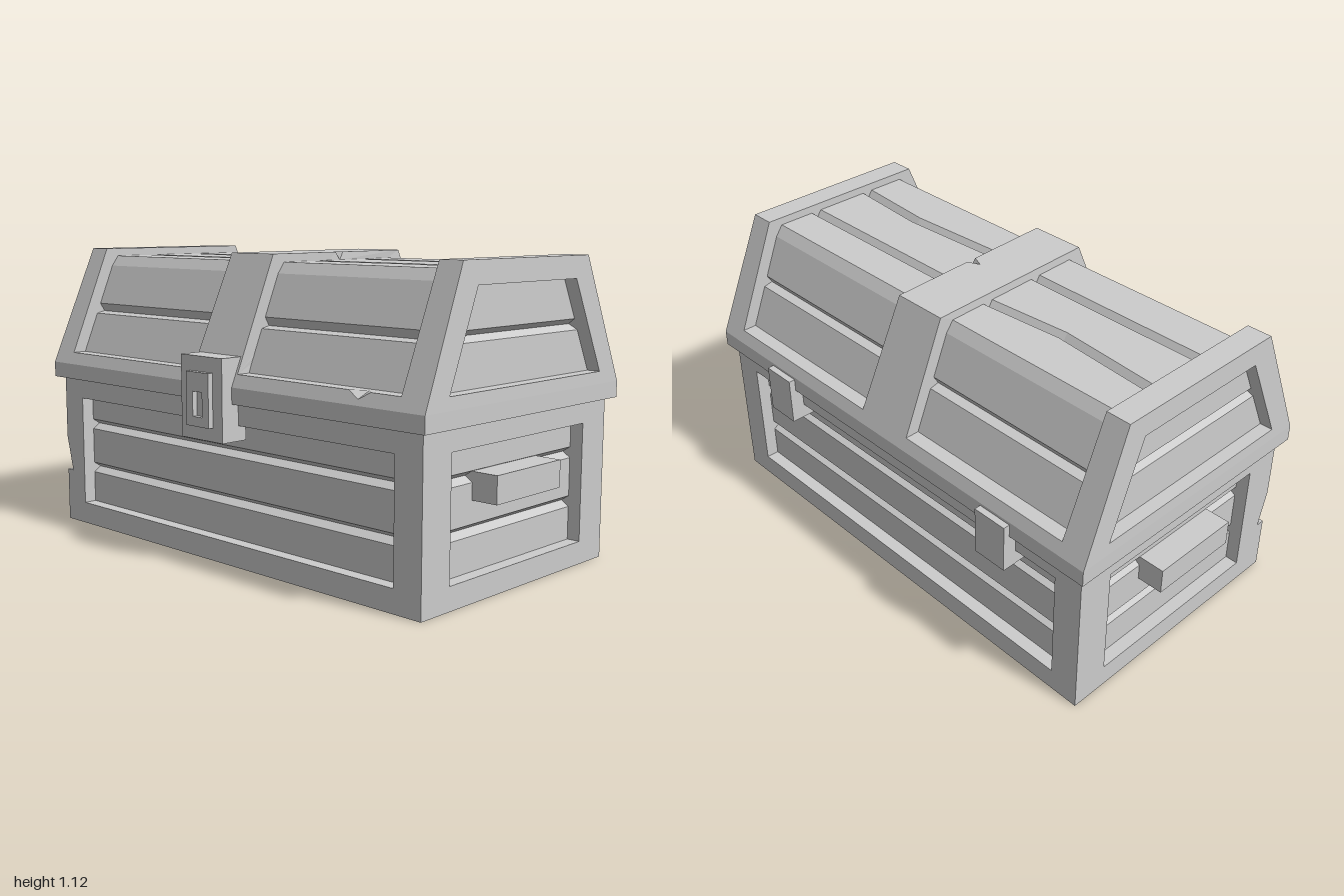
import * as THREE from 'three';

const V = (x, y, z) => new THREE.Vector3(x, y, z);
const material = new THREE.MeshStandardMaterial({ color: 0xcccccc, flatShading: true });

// Flat polygon (with optional holes) whose triangles all look towards `out`
function face(out, pts, holes = []) {
  const a = [Math.abs(out.x), Math.abs(out.y), Math.abs(out.z)];
  const drop = a.indexOf(Math.max(...a));
  const flat = p => drop === 0 ? new THREE.Vector2(p.z, p.y)
    : drop === 1 ? new THREE.Vector2(p.x, p.z) : new THREE.Vector2(p.x, p.y);
  const all = pts.concat(...holes), result = [];
  for (const [i, j, k] of THREE.ShapeUtils.triangulateShape(pts.map(flat), holes.map(h => h.map(flat)))) {
    const [p, q, r] = [all[i], all[j], all[k]];
    const n = q.clone().sub(p).cross(r.clone().sub(p));
    result.push(...(n.dot(out) < 0 ? [p, r, q] : [p, q, r]));
  }
  return result;
}

function part(name, ...faces) {
  const g = new THREE.BufferGeometry().setFromPoints(faces.flat());
  g.computeVertexNormals();
  const mesh = new THREE.Mesh(g, material);
  mesh.name = name;
  return mesh;
}

function box(name, w, h, d, x, y, z) {
  const mesh = new THREE.Mesh(new THREE.BoxGeometry(w, h, d), material);
  mesh.position.set(x, y, z);
  mesh.name = name;
  return mesh;
}

const RECESS = 0.05, GROOVE = 0.03, HALF = 0.02;

// Sunken symmetric panel with V-grooves; map(u, v, w) places it, w pointing outwards
function panel(map, y0, y1, u0, u1, grooves) {
  const at = v => THREE.MathUtils.mapLinear(v, y0, y1, u0, u1);
  const dir = (u, v, w) => map(u, v, w).sub(map(0, 0, 0));
  const hole = [[-u0, y0], [u0, y0], [u1, y1], [-u1, y1]];
  const out = [];
  const inward = [dir(0, 1, 0), dir(-1, 0, 0), dir(0, -1, 0), dir(1, 0, 0)];
  hole.forEach(([u, v], i) => {
    const [s, t] = hole[(i + 1) % 4], d = -RECESS - GROOVE;
    const q = [map(u, v, 0), map(s, t, 0), map(s, t, d), map(u, v, d)];
    const n = q[1].clone().sub(q[0]).cross(q[2].clone().sub(q[0]));
    out.push(...face(n.dot(inward[i]) < 0 ? n.negate() : n, q));
  });
  const section = [[y0, -RECESS]];
  for (const g of grooves) section.push([g - HALF, -RECESS], [g, -RECESS - GROOVE], [g + HALF, -RECESS]);
  section.push([y1, -RECESS]);
  for (let i = 0; i + 1 < section.length; i++) {
    const [v, w] = section[i], [t, x] = section[i + 1];
    out.push(...face(dir(0, 0, 1), [map(-at(v), v, w), map(at(v), v, w), map(at(t), t, x), map(-at(t), t, x)]));
  }
  return { faces: out, hole: hole.map(([u, v]) => map(u, v, 0)) };
}

function makeBody() {
  const X = 0.95, Z = 0.52, H = 0.6, grooves = [0.227, 0.408], faces = [];
  // chipped front corner post
  const a = V(-X, 0.35, Z), b = V(-0.915, 0.21, Z), c = V(-X, 0.21, Z - 0.035), d = V(-X, 0.21, Z);
  faces.push(face(V(-1, 0.2, 1), [a, b, c]), face(V(0, 1, 0), [b, c, d]));
  for (const s of [1, -1]) {
    // front and back
    const long = panel((u, v, w) => V(u, v, s * (Z + w)), 0.085, 0.52, 0.835, 0.835, grooves);
    const rim = [V(-X, 0, s * Z), V(X, 0, s * Z), V(X, H, s * Z), V(-X, H, s * Z)];
    if (s > 0) rim.push(a, b, d);
    faces.push(long.faces, face(V(0, 0, s), rim, [long.hole]));
    // ends
    const end = panel((u, v, w) => V(s * (X + w), v, u), 0.085, 0.52, 0.378, 0.378, grooves);
    const edge = [V(s * X, 0, -Z), V(s * X, H, -Z), V(s * X, H, Z)];
    if (s < 0) edge.push(a, c, d);
    edge.push(V(s * X, 0, Z));
    faces.push(end.faces, face(V(s, 0, 0), edge, [end.hole]));
  }
  faces.push(face(V(0, -1, 0), [V(-X, 0, -Z), V(X, 0, -Z), V(X, 0, Z), V(-X, 0, Z)]));
  return part('chestBody', ...faces);
}

// Half depth and half length of the lid at height y
const slope = y => 0.55 - 0.195 * (y - 0.66) / 0.46;
const reach = y => 0.98 - 0.015 * (y - 0.66) / 0.46;
const LOW = 0.66, SILL = 0.705, TOP = 1.12, POST = 0.87, BAND = 0.12;

function makeLidFrame() {
  const faces = [], S = slope(TOP), E = reach(TOP);
  const chip = { a: V(0.65, SILL, slope(SILL)), b: V(0.745, SILL, slope(SILL)),
    p: V(0.71, SILL, slope(SILL) - 0.033), q: V(0.7, 0.68, slope(0.68)) };
  const nick = { a: V(0.107, TOP, -0.02), b: V(0.108, TOP, 0.02), p: V(0.06, TOP, 0), q: V(0.11, 1.09, 0) };
  for (const [k, o] of [[chip, V(0, 1, 1)], [nick, V(1, 1, 0)]]) {
    for (const e of [k.a, k.b]) {
      const n = k.p.clone().sub(e).cross(k.q.clone().sub(e));
      faces.push(face(n.dot(o) < 0 ? n.negate() : n, [e, k.p, k.q]));
    }
  }
  for (const s of [1, -1]) {
    const p = (x, y) => V(x, y, s * slope(y));
    const bandR = s > 0 ? BAND : 0.095, bandL = s > 0 ? -0.1 : -BAND;
    // sloping frame: sill, end posts and centre band in one outline
    faces.push(face(V(0, 0.4, s), [p(-0.98, LOW), p(0.98, LOW), p(E, TOP), p(POST, TOP), p(POST, SILL),
      ...(s > 0 ? [chip.b, chip.q, chip.a] : []),
      p(BAND, SILL), p(bandR, TOP), p(bandL, TOP), p(-BAND, SILL), p(-POST, SILL), p(-POST, TOP), p(-E, TOP)]));
    // lower rim and sill ledges
    faces.push(face(V(0, 0, s), [V(-0.98, 0.6, s * 0.55), V(0.98, 0.6, s * 0.55), p(0.98, LOW), p(-0.98, LOW)]));
    for (const m of [1, -1]) {
      const deep = s * (slope(SILL) - 0.08);
      faces.push(face(V(0, 1, 0), [V(m * POST, SILL, deep), p(m * POST, SILL),
        ...(s > 0 && m > 0 ? [chip.b, chip.p, chip.a] : []), p(m * BAND, SILL), V(m * BAND, SILL, deep)]));
    }
    // ends with sunken trapezoid panels
    const map = (u, v, w) => V(s * (reach(v) + w), v, u);
    const end = panel(map, SILL, 1.04, 0.43, 0.28, [0.875]);
    faces.push(end.faces, face(V(s, 0, 0),
      [map(-0.55, LOW, 0), map(0.55, LOW, 0), map(S, TOP, 0), map(-S, TOP, 0)], [end.hole]));
    faces.push(face(V(s, 0, 0), [V(s * 0.98, 0.6, -0.55), V(s * 0.98, 0.6, 0.55), map(0.55, LOW, 0), map(-0.55, LOW, 0)]));
    // post tops and inner sides
    faces.push(face(V(0, 1, 0), [V(s * POST, TOP, -S), V(s * E, TOP, -S), V(s * E, TOP, S), V(s * POST, TOP, S)]));
    const B = slope(SILL);
    faces.push(face(V(-s, 0, 0), [V(s * POST, SILL, B), V(s * POST, TOP, S), V(s * POST, TOP, -S), V(s * POST, SILL, -B)]));
    // centre band sides
    const front = s > 0 ? BAND : -0.1, back = s > 0 ? 0.095 : -BAND;
    faces.push(face(V(s, 0, 0), [V(s * BAND, SILL, B), V(front, TOP, S),
      ...(s > 0 ? [nick.b, nick.q, nick.a] : []), V(back, TOP, -S), V(s * BAND, SILL, -B)]));
  }
  // centre band top and lid underside
  faces.push(face(V(0, 1, 0), [V(-0.1, TOP, S), V(BAND, TOP, S), nick.b, nick.p, nick.a, V(0.095, TOP, -S), V(-BAND, TOP, -S)]));
  faces.push(face(V(0, -1, 0), [V(-0.98, 0.6, -0.55), V(0.98, 0.6, -0.55), V(0.98, 0.6, 0.55), V(-0.98, 0.6, 0.55)]));
  return part('lidFrame', ...faces);
}

// Planks of one lid bay; the two top grooves may bend at the middle station
function makePlanks(name, stations) {
  const side = s => [SILL, 0.858, 0.878, 0.898, 1.05].map((y, i) => {
    const d = i === 2 ? GROOVE : 0;
    return [s * (slope(y) - 0.055 - d * 0.92), y - d * 0.39];
  }).concat([[s * 0.3, 1.09]]);
  const groove = z => [[z + 0.022, 1.09], [z, 1.09 - GROOVE], [z - 0.022, 1.09]];
  const rows = stations.map(([x, g1, g2]) => [...side(1), ...groove(g1), ...groove(g2), ...side(-1).reverse()]
    .map(([z, y]) => V(x, y, z)));
  const faces = [];
  for (let r = 0; r + 1 < rows.length; r++) {
    for (let i = 0; i + 1 < rows[r].length; i++) {
      const a = rows[r][i], b = rows[r][i + 1];
      faces.push(face(V(0, a.z - b.z, b.y - a.y), [a, b, rows[r + 1][i + 1], rows[r + 1][i]]));
    }
  }
  return part(name, ...faces);
}

function makeLatch() {
  const latch = new THREE.Group();
  latch.name = 'latch';
  latch.add(box('latchPlate', 0.22, 0.3, 0.11, 0, 0.615, 0.54));
  const rect = (T, w, y0, y1) => new T([[-w, y0], [w, y0], [w, y1], [-w, y1]].map(p => new THREE.Vector2(...p)));
  const shape = rect(THREE.Shape, 0.06, 0.515, 0.71);
  shape.holes.push(rect(THREE.Path, 0.025, 0.55, 0.64));
  const ring = new THREE.Mesh(new THREE.ExtrudeGeometry(shape, { depth: 0.02, bevelEnabled: false }), material);
  ring.position.z = 0.595;
  ring.name = 'keyholeSurround';
  latch.add(ring);
  return latch;
}

export function createModel() {
  const chest = new THREE.Group();
  chest.name = 'chest';
  chest.add(makeBody(), makeLidFrame(), makeLatch());
  chest.add(makePlanks('rightLidPlanks', [[-0.88, 0.115, -0.132], [-0.45, 0.115, -0.1], [-0.09, 0.115, -0.132]]));
  chest.add(makePlanks('leftLidPlanks', [[0.09, 0.13, -0.132], [0.54, 0.105, -0.132], [0.88, 0.13, -0.132]]));
  for (const s of [1, -1]) {
    chest.add(box('handle', 0.13, 0.098, 0.365, s * 0.935, 0.377, 0.02));
    chest.add(box('hinge', 0.138, 0.185, 0.1, s * 0.585, 0.5575, -0.525));
  }
  chest.position.z = -0.02;
  const model = new THREE.Group();
  model.add(chest);
  return model;
}
